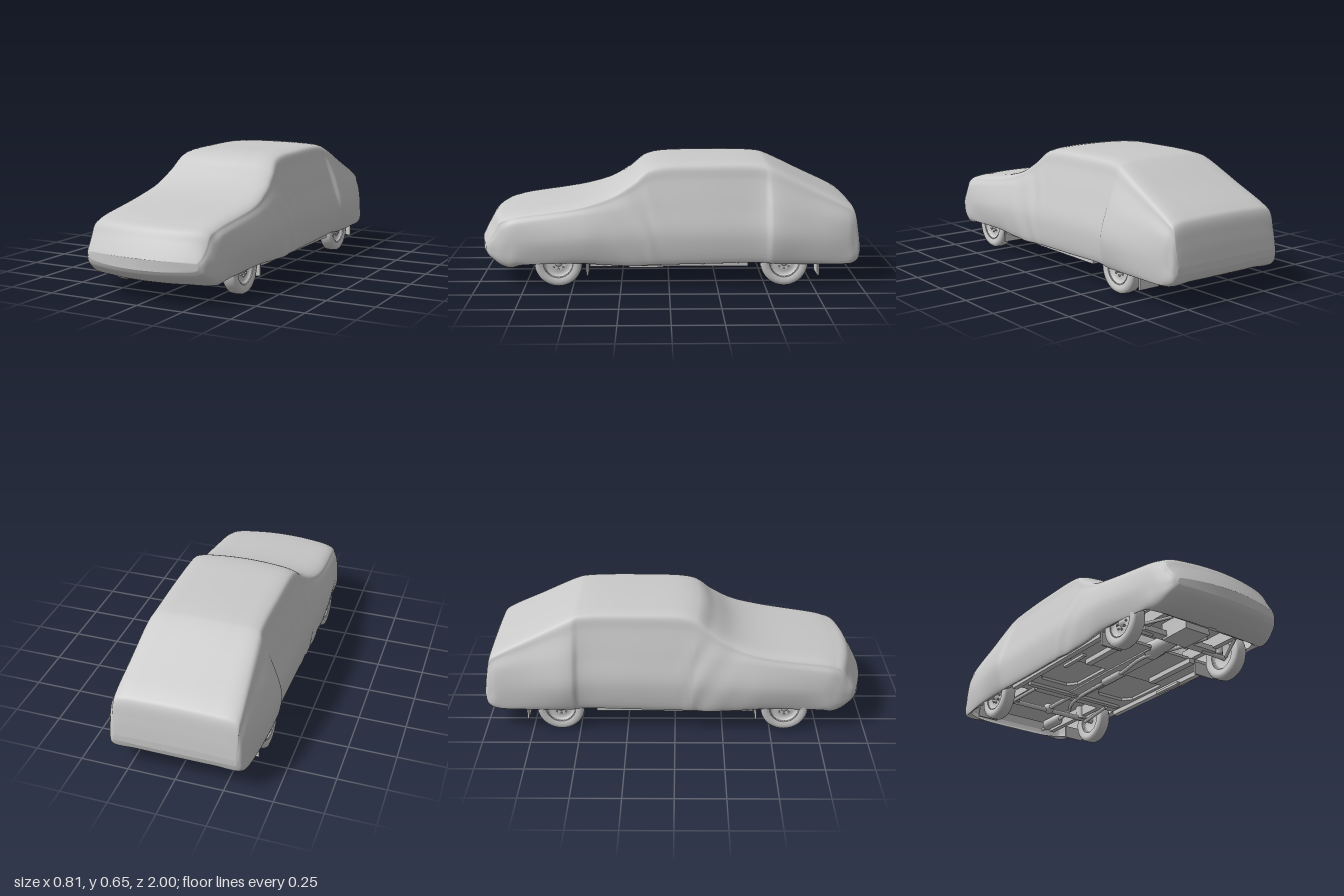
import * as THREE from 'three';

const grey = new THREE.MeshStandardMaterial({ color: 0xcacaca, side: THREE.DoubleSide });
grey.name = 'plain grey';

// Cover stations: z, hem y, hem half-width, widest half-width, shoulder half-width, shoulder y, top edge half-width, centre y
const STATIONS = [
  [1.0, 0.19, 0.30, 0.305, 0.305, 0.205, 0.30, 0.225],
  [0.985, 0.165, 0.32, 0.328, 0.325, 0.223, 0.313, 0.255],
  [0.955, 0.14, 0.335, 0.345, 0.337, 0.25, 0.32, 0.31],
  [0.92, 0.12, 0.342, 0.357, 0.342, 0.29, 0.322, 0.362],
  [0.85, 0.108, 0.352, 0.366, 0.35, 0.32, 0.325, 0.382],
  [0.76, 0.118, 0.36, 0.375, 0.355, 0.335, 0.33, 0.397],
  [0.45, 0.13, 0.375, 0.40, 0.365, 0.375, 0.34, 0.444],
  [0.32, 0.12, 0.375, 0.395, 0.358, 0.39, 0.322, 0.488],
  [0.22, 0.115, 0.375, 0.39, 0.352, 0.40, 0.303, 0.556],
  [0.13, 0.12, 0.375, 0.387, 0.348, 0.41, 0.285, 0.622],
  [-0.2, 0.125, 0.37, 0.385, 0.347, 0.415, 0.28, 0.645],
  [-0.495, 0.13, 0.37, 0.387, 0.348, 0.415, 0.28, 0.638],
  [-0.54, 0.125, 0.375, 0.405, 0.372, 0.40, 0.287, 0.625],
  [-0.75, 0.122, 0.37, 0.385, 0.36, 0.365, 0.302, 0.525],
  [-0.93, 0.118, 0.35, 0.358, 0.345, 0.335, 0.315, 0.437],
  [-0.965, 0.125, 0.34, 0.345, 0.335, 0.305, 0.315, 0.41],
  [-0.988, 0.14, 0.328, 0.335, 0.328, 0.245, 0.315, 0.31],
  [-1.0, 0.175, 0.31, 0.315, 0.315, 0.19, 0.31, 0.21],
];

// Full arch for one station, from the left hem over the top to the right hem; nose and tail are closed underneath
function arch([z, hemY, hemW, wideW, shoulderW, shoulderY, topW, topY]) {
  const closed = z > 0.8 || z < -0.95;
  const drop = z > 0.8 ? 0.02 : 0.006;
  const edgeY = topY - Math.min(0.025, (topY - shoulderY) * 0.4);
  const half = [
    closed ? [0, hemY - drop] : [hemW - 0.03, hemY + 0.01],
    closed ? [hemW * 0.6, hemY - drop * 0.8] : [hemW - 0.015, hemY + 0.003],
    [hemW, hemY],
    [wideW, (hemY + shoulderY) / 2],
    [shoulderW, shoulderY],
    [(shoulderW + topW * 2) / 3, (shoulderY + edgeY * 2) / 3],
    [topW, edgeY],
    [topW - 0.035, topY - (topY - edgeY) * 0.4],
    [topW * 0.5, topY - (topY - edgeY) * 0.1],
  ];
  const right = half.map(([x, y]) => [-x, y]).reverse();
  return [...half, [0, topY], ...right].map(([x, y]) => new THREE.Vector3(x, y, z));
}

function coverGeometry() {
  const arches = STATIONS.map(arch), rows = 102, cols = 108;
  const lines = arches[0].map((_, j) => new THREE.CatmullRomCurve3(arches.map(a => a[j]), false, 'centripetal'));
  const rings = [];
  for (let i = 0; i <= rows; i++) {
    const curve = new THREE.CatmullRomCurve3(lines.map(l => l.getPoint(i / rows)), false, 'centripetal');
    rings.push(curve.getPoints(cols));
  }
  // Close the nose and tail by shrinking the end rings to the centre line
  const shrink = (ring, s) => ring.map(p => new THREE.Vector3(p.x * s, p.y, p.z));
  const scales = [0.75, 0.5, 0.25, 0];
  const first = rings[0], last = rings[rows];
  scales.forEach(s => { rings.unshift(shrink(first, s)); rings.push(shrink(last, s)); });
  const pos = [], index = [], n = cols + 1;
  rings.forEach((ring, i) => ring.forEach((p, j) => {
    // Bowed nose and windscreen, and slanting cloth folds along the doors
    const bow = 0.5 * THREE.MathUtils.smoothstep(p.z, 0.75, 0.97) + 0.35 * Math.exp(-(((p.z - 0.18) / 0.13) ** 2));
    const side = THREE.MathUtils.smoothstep(Math.abs(p.x), 0.29, 0.35);
    const fold = Math.exp(-(((p.z - 0.15) / 0.16) ** 2)) * side * 0.003 * Math.sin(45 * (p.z - 0.5 * p.y));
    pos.push(p.x + Math.sign(p.x) * fold, p.y, p.z - bow * p.x * p.x);
    if (i < rings.length - 1 && j < cols) {
      const a = i * n + j, b = a + n;
      index.push(a, b, a + 1, b, b + 1, a + 1);
    }
  }));
  const g = new THREE.BufferGeometry();
  g.setAttribute('position', new THREE.Float32BufferAttribute(pos, 3));
  g.setIndex(index);
  g.computeVertexNormals();
  return g;
}

export function createModel() {
  const model = new THREE.Group();
  model.name = 'coveredCar';
  const add = (name, geometry, parent = model) => {
    const mesh = new THREE.Mesh(geometry, grey);
    mesh.name = name;
    parent.add(mesh);
    return mesh;
  };
  const box = (name, x, y, z, w, h, d) => add(name, new THREE.BoxGeometry(w, h, d).translate(x, y, z));
  const pair = (name, x, ...rest) => [1, -1].forEach(s => box(name, s * x, ...rest));
  const tube = (name, points, r) => add(name, new THREE.TubeGeometry(
    new THREE.CatmullRomCurve3(points.map(p => new THREE.Vector3(...p))), 32, r, 10));

  add('clothCover', coverGeometry());

  // Wheels: tyre, dished rim, hub and ring of nuts
  const profile = (points) => new THREE.LatheGeometry(points.map(p => new THREE.Vector2(...p)), 40).rotateZ(-Math.PI / 2);
  for (const z of [0.575, -0.6]) for (const s of [1, -1]) {
    const wheel = new THREE.Group();
    wheel.name = z > 0 ? 'frontWheel' : 'rearWheel';
    wheel.position.set(s * 0.327 - 0.005, 0.125, z);
    if (s < 0) wheel.rotation.y = Math.PI;
    model.add(wheel);
    add('tyre', profile([[0.074, -0.03], [0.1, -0.038], [0.116, -0.034], [0.123, -0.024], [0.125, 0],
      [0.123, 0.024], [0.116, 0.034], [0.1, 0.038], [0.08, 0.033], [0.074, 0.026]]), wheel);
    add('rim', profile([[0.001, -0.01], [0.06, -0.01], [0.074, -0.03], [0.078, 0.032], [0.07, 0.026],
      [0.064, 0.01], [0.045, 0.018], [0.03, 0.014], [0.02, 0.014], [0.018, 0.026], [0.001, 0.028]]), wheel);
    for (let i = 0; i < 8; i++) {
      const a = i * Math.PI / 4;
      add('wheelNut', new THREE.CylinderGeometry(0.005, 0.005, 0.01, 6).rotateZ(Math.PI / 2)
        .translate(0.019, 0.035 * Math.cos(a), 0.035 * Math.sin(a)), wheel);
    }
  }

  // Mud flaps
  pair('frontMudFlap', 0.3, 0.095, 0.425, 0.12, 0.07, 0.01);
  pair('rearMudFlap', 0.3, 0.095, -0.775, 0.12, 0.07, 0.01);

  // Floor with a recessed panel each side of the tunnel, sills and rails
  const floor = new THREE.Shape([[-0.355, -0.42], [0.355, -0.42], [0.355, 0.42], [-0.355, 0.42]].map(p => new THREE.Vector2(...p)));
  for (const s of [1, -1]) {
    floor.holes.push(new THREE.Path([[0.07, -0.2], [0.11, -0.25], [0.27, -0.25], [0.31, -0.2], [0.31, 0.06], [0.07, 0.06]]
      .map(([x, z]) => new THREE.Vector2(s * x, -z))));
  }
  add('floorPan', new THREE.ExtrudeGeometry(floor, { depth: 0.015, bevelEnabled: false }).rotateX(-Math.PI / 2).translate(0, 0.135, 0));
  box('floorRecess', 0, 0.153, -0.095, 0.66, 0.006, 0.33);
  box('bootFloor', 0, 0.2, -0.68, 0.5, 0.01, 0.54);
  box('engineBayPan', 0, 0.2, 0.63, 0.5, 0.01, 0.44);
  pair('sill', 0.345, 0.125, 0, 0.03, 0.03, 0.82);
  pair('floorRail', 0.21, 0.122, 0.27, 0.035, 0.026, 0.34);
  pair('rearRail', 0.235, 0.165, -0.66, 0.03, 0.06, 0.52);
  pair('frontRail', 0.22, 0.165, 0.62, 0.03, 0.06, 0.5);
  pair('jackingPlate', 0.31, 0.1, 0.12, 0.02, 0.014, 0.18);
  box('seatCrossMember', 0, 0.13, -0.33, 0.6, 0.02, 0.03);
  box('transmissionTunnel', 0, 0.137, 0.05, 0.1, 0.02, 0.72);

  // Front running gear
  box('frontCrossMember', 0, 0.13, 0.58, 0.46, 0.03, 0.05);
  box('radiatorSupport', 0, 0.13, 0.8, 0.5, 0.03, 0.03);
  box('sump', -0.02, 0.15, 0.66, 0.15, 0.09, 0.18);
  add('gearbox', new THREE.CylinderGeometry(0.035, 0.05, 0.2, 16).rotateX(Math.PI / 2).translate(0, 0.15, 0.46));
  for (const s of [1, -1]) {
    tube('controlArm', [[s * 0.16, 0.12, 0.57], [s * 0.31, 0.11, 0.58]], 0.012);
    tube('radiusRod', [[s * 0.2, 0.12, 0.78], [s * 0.3, 0.11, 0.6]], 0.008);
    add('frontStrut', new THREE.CylinderGeometry(0.025, 0.025, 0.16, 14).translate(s * 0.265, 0.2, 0.58));
  }

  // Rear axle, drive shaft and springs
  tube('rearAxle', [[-0.31, 0.125, -0.6], [0, 0.125, -0.6], [0.31, 0.125, -0.6]], 0.014);
  add('differential', new THREE.SphereGeometry(0.03, 20, 14).translate(0, 0.135, -0.6));
  tube('driveShaft', [[0, 0.14, 0.36], [0, 0.14, -0.1], [0, 0.135, -0.58]], 0.012);
  for (const s of [1, -1]) {
    tube('trailingArm', [[s * 0.24, 0.125, -0.36], [s * 0.26, 0.11, -0.6]], 0.01);
    add('rearSpring', new THREE.CylinderGeometry(0.028, 0.028, 0.09, 14).translate(s * 0.23, 0.165, -0.6));
  }

  // Exhaust with silencers
  tube('exhaustPipe', [[0.115, 0.14, 0.67], [0.035, 0.12, 0.5], [-0.03, 0.115, 0.34], [0, 0.115, 0.1], [0.02, 0.12, -0.3],
    [0.09, 0.145, -0.5], [0.17, 0.165, -0.65], [0.18, 0.155, -0.78], [0.18, 0.145, -0.94]], 0.01);
  add('middleSilencer', new THREE.CapsuleGeometry(0.022, 0.13, 6, 16).rotateX(Math.PI / 2).translate(0.005, 0.117, 0.02));
  add('rearSilencer', new THREE.CapsuleGeometry(0.032, 0.1, 6, 16).rotateX(Math.PI / 2).translate(0.18, 0.16, -0.83));
  return model;
}
